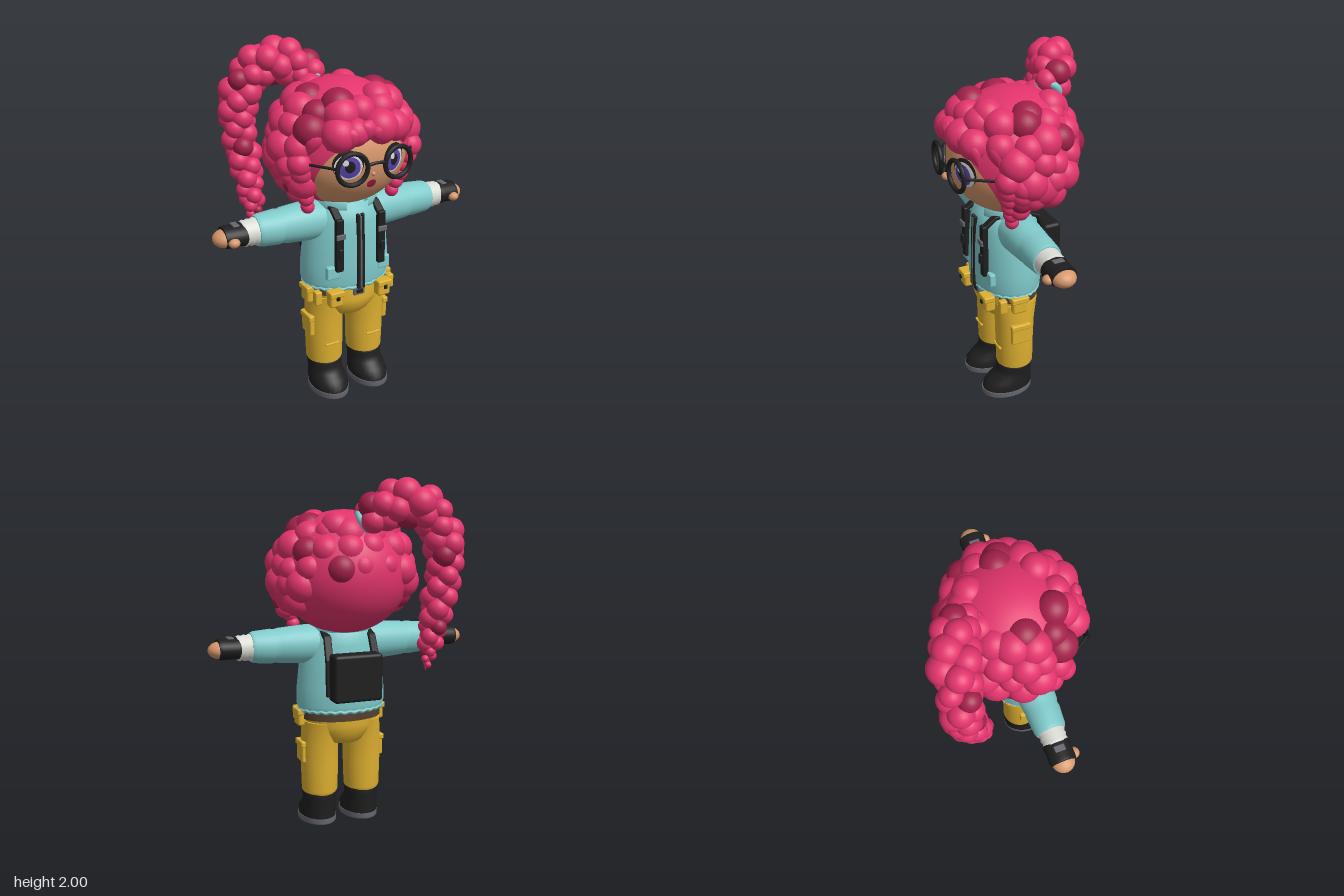
import * as THREE from 'three';
import { mergeGeometries } from 'three/addons/utils/BufferGeometryUtils.js';
import { RoundedBoxGeometry } from 'three/addons/geometries/RoundedBoxGeometry.js';

const V = (x, y, z) => new THREE.Vector3(x, y, z);

function makeMaterials() {
  const colours = { pink: 0xe2346c, darkPink: 0xa3204a, teal: 0x80cacb, yellow: 0xdeb030, black: 0x1e1e1f,
    grey: 0x66676f, skin: 0xd6976b, white: 0xdcdcd6, brown: 0x54402e, purple: 0x5c43b0 };
  const m = {};
  for (const [name, color] of Object.entries(colours)) {
    m[name] = new THREE.MeshStandardMaterial({ color });
    m[name].name = name;
  }
  m.teal.side = THREE.DoubleSide;
  return m;
}

// Stack of elliptical sections [y, cx, cz, rx, rz], closed at both ends
function loft(sections, n = 32) {
  const a = sections[0], b = sections[sections.length - 1];
  const rows = [[a[0], a[1], a[2], 0, 0], a, ...sections, b, [b[0], b[1], b[2], 0, 0]];
  const pos = [], idx = [];
  rows.forEach(([y, cx, cz, rx, rz], r) => {
    for (let i = 0; i < n; i++) {
      const t = i / n * Math.PI * 2;
      pos.push(cx + Math.sin(t) * rx, y, cz + Math.cos(t) * rz);
      if (r === 0) continue;
      const p = (r - 1) * n + i, q = (r - 1) * n + (i + 1) % n;
      idx.push(p, q, q + n, p, q + n, p + n);
    }
  });
  const g = new THREE.BufferGeometry();
  g.setAttribute('position', new THREE.Float32BufferAttribute(pos, 3));
  g.setIndex(idx);
  g.computeVertexNormals();
  return g;
}

export function createModel() {
  const model = new THREE.Group();
  const M = makeMaterials();
  let seed = 7;
  const rnd = () => (seed = (seed * 16807) % 2147483647) / 2147483647;

  const add = (name, geo, mat, x = 0, y = 0, z = 0) => {
    const mesh = new THREE.Mesh(geo, mat);
    mesh.name = name;
    mesh.position.set(x, y, z);
    model.add(mesh);
    return mesh;
  };
  const box = (name, mat, x, y, z, w, h, d, r = 0.008) =>
    add(name, new RoundedBoxGeometry(w, h, d, 2, Math.min(r, w / 3, h / 3, d / 3)), mat, x, y, z);
  const ball = (x, y, z, r) => new THREE.SphereGeometry(r, 24, 16).translate(x, y, z);
  // Straight flat strip from a to b
  const strip = (name, mat, a, b, w, t) => {
    const s = box(name, mat, 0, 0, 0, w, t, a.distanceTo(b) + t * 0.6);
    s.position.copy(a).lerp(b, 0.5);
    s.lookAt(b);
  };

  // Trousers and belt
  add('hips', loft([[0.49, 0, 0.1, 0.12, 0.115], [0.51, 0, 0.1, 0.15, 0.135], [0.55, 0, 0.1, 0.185, 0.158],
    [0.6, 0, 0.1, 0.222, 0.172], [0.68, 0, 0.095, 0.23, 0.166]]), M.yellow);
  add('belt', loft([[0.635, 0, 0.09, 0.238, 0.168], [0.69, 0, 0.09, 0.238, 0.168]]), M.brown);
  box('beltBuckle', M.grey, 0, 0.66, 0.27, 0.07, 0.05, 0.02);
  box('beltBuckleCentre', M.black, 0, 0.66, 0.28, 0.04, 0.025, 0.01);

  // Jacket, hem and upright collar
  add('jacket', loft([[0.685, 0, 0.1, 0.25, 0.18], [0.72, 0, 0.1, 0.264, 0.192], [0.82, 0, 0.1, 0.262, 0.192],
    [0.95, 0, 0.1, 0.248, 0.188], [1.07, 0, 0.1, 0.226, 0.178], [1.14, 0, 0.1, 0.195, 0.16],
    [1.18, 0, 0.1, 0.13, 0.11]], 40), M.teal);
  const hem = new THREE.TorusGeometry(0.243, 0.012, 8, 120).rotateX(Math.PI / 2);
  const hp = hem.attributes.position;
  for (let i = 0; i < hp.count; i++) {
    hp.setY(i, hp.getY(i) + 0.004 * Math.sin(Math.atan2(hp.getZ(i), hp.getX(i)) * 28));
  }
  hem.scale(1.02, 1, 0.74);
  hem.computeVertexNormals();
  add('jacketHem', hem, M.teal, 0, 0.69, 0.1);
  const collarProfile = [[0.14, 0], [0.18, 0], [0.185, 0.03], [0.18, 0.068], [0.165, 0.07], [0.14, 0]];
  add('collar', new THREE.LatheGeometry(collarProfile.map(p => new THREE.Vector2(...p)), 40, 0.36, Math.PI * 2 - 0.72)
    .scale(1, 1, 0.85), M.teal, 0, 1.13, 0.1);
  add('neck', new THREE.CylinderGeometry(0.065, 0.075, 0.16, 24), M.skin, 0, 1.16, 0.1);
  for (const s of [-1, 1]) strip('zipBand', M.black, V(s * 0.014, 0.69, 0.293), V(s * 0.014, 1.12, 0.276), 0.02, 0.02);
  strip('zip', M.grey, V(0, 0.69, 0.3), V(0, 1.11, 0.283), 0.01, 0.012);

  // Backpack
  box('backpack', M.black, 0, 0.905, -0.14, 0.29, 0.27, 0.105, 0.02);

  for (const s of [-1, 1]) {
    // Legs and boots
    const lx = s * 0.133;
    add('leg', loft([[0.18, lx, 0.1, 0.095, 0.1], [0.2, lx, 0.1, 0.105, 0.108], [0.35, lx, 0.1, 0.11, 0.11],
      [0.5, lx, 0.098, 0.11, 0.115], [0.62, s * 0.125, 0.095, 0.108, 0.135]]), M.yellow);
    add('boot', loft([[0.03, lx, 0.15, 0.105, 0.15], [0.06, lx, 0.148, 0.108, 0.148], [0.09, lx, 0.135, 0.104, 0.133],
      [0.12, lx, 0.115, 0.098, 0.113], [0.15, lx, 0.105, 0.098, 0.104], [0.185, lx, 0.105, 0.103, 0.105],
      [0.195, lx, 0.105, 0.097, 0.098]]), M.black);
    add('sole', loft([[0, lx, 0.152, 0.106, 0.15], [0.008, lx, 0.152, 0.11, 0.154], [0.035, lx, 0.152, 0.109, 0.153]]), M.grey);

    // Pockets and pouches
    box('cargoPocket', M.yellow, s * 0.238, 0.435, 0.11, 0.03, 0.12, 0.11);
    box('cargoFlap', M.yellow, s * 0.243, 0.485, 0.11, 0.035, 0.035, 0.12);
    box('kneeSeam', M.yellow, s * 0.135, 0.32, 0.209, 0.09, 0.012, 0.015);
    box('sidePouch', M.yellow, s * 0.245, 0.635, 0.12, 0.045, 0.09, 0.09, 0.015);
    box('sidePouchFlap', M.yellow, s * 0.25, 0.675, 0.12, 0.05, 0.035, 0.105);
    box('frontPouch', M.yellow, s * 0.152, 0.64, 0.27, 0.08, 0.08, 0.06, 0.015);
    box('frontPouchFlap', M.yellow, s * 0.152, 0.68, 0.277, 0.09, 0.035, 0.065);
    box('pouchClip', M.black, s * 0.152, 0.66, 0.31, 0.02, 0.025, 0.01);
    box('narrowPouch', M.yellow, s * 0.232, 0.645, 0.215, 0.04, 0.08, 0.045);
    box('jacketPocket', M.teal, s * 0.16, 0.8, 0.255, 0.075, 0.075, 0.035);

    // Harness straps over the shoulders
    box('chestStrap', M.black, s * 0.13, 0.965, 0.277, 0.045, 0.31, 0.035);
    box('strapBuckle', M.grey, s * 0.13, 1.02, 0.298, 0.055, 0.03, 0.012);
    box('strapClip', M.black, s * 0.13, 0.92, 0.3, 0.03, 0.06, 0.015);
    const path = [V(s * 0.13, 1.11, 0.27), V(s * 0.13, 1.155, 0.21), V(s * 0.13, 1.17, 0.08), V(s * 0.135, 1.12, -0.045),
      V(s * 0.14, 1.0, -0.09), V(s * 0.14, 0.8, -0.1)];
    for (let i = 1; i < path.length; i++) strip('shoulderStrap', M.black, path[i - 1], path[i], 0.045, 0.022);

    // Arms, modelled upright and then turned sideways
    const arm = (name, rows, mat) => {
      const g = loft(rows.map(([d, r]) => [d, 0, 0, r, r]), 28).rotateZ(-s * Math.PI / 2);
      return add(name, g, mat, 0, 1.07, 0.1);
    };
    arm('sleeve', [[0.1, 0.11], [0.2, 0.113], [0.3, 0.106], [0.38, 0.1], [0.4, 0.094], [0.42, 0.098], [0.52, 0.09],
      [0.54, 0.082]], M.teal);
    arm('cuff', [[0.52, 0.074], [0.545, 0.077], [0.56, 0.07], [0.575, 0.075], [0.59, 0.068], [0.605, 0.073], [0.62, 0.066]], M.white);
    arm('glove', [[0.605, 0.066], [0.615, 0.072], [0.645, 0.067], [0.705, 0.069], [0.725, 0.065]], M.black)
      .scale.set(1, 0.88, 1.1);
    add('hand', new THREE.SphereGeometry(1, 24, 16).scale(0.075, 0.05, 0.068), M.skin, s * 0.705, 1.065, 0.1);
    add('thumb', new THREE.SphereGeometry(1, 16, 12).scale(0.032, 0.025, 0.03), M.skin, s * 0.69, 1.06, 0.174);
    box('gloveStrap', M.grey, s * 0.655, 1.13, 0.1, 0.035, 0.008, 0.06);
  }

  // Head
  add('head', new THREE.SphereGeometry(1, 48, 32).scale(0.36, 0.32, 0.35), M.skin, 0, 1.46, 0.06);
  const faceZ = (x, y) => 0.06 + 0.35 * Math.sqrt(Math.max(0, 1 - (x / 0.36) ** 2 - ((y - 1.46) / 0.32) ** 2));
  // Thin disc that follows the face
  const faceDisc = (name, mat, x, y, rx, ry, lift) => {
    const g = new THREE.RingGeometry(0, 1, 32, 5).scale(rx, ry, 1).translate(x, y, 0);
    const p = g.attributes.position;
    for (let i = 0; i < p.count; i++) p.setZ(i, faceZ(p.getX(i), p.getY(i)) + lift);
    g.computeVertexNormals();
    add(name, g, mat);
  };
  for (const s of [-1, 1]) {
    const ex = s * 0.135;
    faceDisc('eyeOutline', M.black, ex, 1.455, 0.076, 0.078, 0.002);
    faceDisc('eyeWhite', M.white, ex, 1.444, 0.069, 0.069, 0.004);
    faceDisc('iris', M.purple, ex - s * 0.004, 1.443, 0.053, 0.058, 0.006);
    faceDisc('pupil', M.black, ex - s * 0.004, 1.447, 0.026, 0.032, 0.008);
    faceDisc('eyeGlint', M.white, ex - 0.018, 1.47, 0.015, 0.017, 0.01);
    faceDisc('eyebrow', M.darkPink, s * 0.14, 1.555, 0.05, 0.008, 0.004);
    add('glassesRim', new THREE.TorusGeometry(0.083, 0.013, 10, 40).rotateY(s * 0.12), M.black, ex, 1.445, 0.425);
    const temple = new THREE.LineCurve3(V(s * 0.215, 1.455, 0.412), V(s * 0.325, 1.455, 0.25));
    add('glassesArm', new THREE.TubeGeometry(temple, 1, 0.008, 8), M.black);
  }
  const bridge = new THREE.QuadraticBezierCurve3(V(-0.056, 1.455, 0.436), V(0, 1.475, 0.445), V(0.056, 1.455, 0.436));
  add('glassesBridge', new THREE.TubeGeometry(bridge, 10, 0.009, 8), M.black);
  faceDisc('mouth', M.darkPink, 0, 1.335, 0.027, 0.025, 0.004);
  add('nose', new THREE.SphereGeometry(0.012, 12, 8), M.skin, 0, 1.395, 0.404);

  // Hair cap with a round opening for the face
  add('hairCap', new THREE.SphereGeometry(1, 48, 32, 0, Math.PI * 2, 0, Math.PI * 0.747).rotateX(-1.09)
    .scale(0.378, 0.348, 0.365), M.pink, 0, 1.48, 0.045);

  // Curls in rows: [elevation, count, nearest angle to the face, furthest angle]
  const curls = [], darkCurls = [];
  const curl = (x, y, z, r, dark) => (dark ? darkCurls : curls).push(ball(x, y, z, r));
  const D = Math.PI / 180;
  const rows = [[45, 13, 0, 180], [27, 16, 0, 180], [7, 16, 52, 180], [-12, 16, 64, 140], [-29, 16, 66, 115]];
  rows.forEach(([elev, count, near, far], r) => {
    for (let i = 0; i < count; i++) {
      const a = ((i + (r % 2) * 0.5) / count * 360 + (rnd() - 0.5) * 9 + 540) % 360 - 180;
      const e = (elev + (rnd() - 0.5) * 7) * D, size = 0.07 + rnd() * 0.028;
      if (Math.abs(a) < near || Math.abs(a) > far) continue;
      const depth = Math.cos(a * D) > 0 ? 0.342 : 0.315;
      curl(0.352 * Math.cos(e) * Math.sin(a * D), 1.48 + 0.305 * Math.sin(e),
        0.06 + depth * Math.cos(e) * Math.cos(a * D), size, (i * 3 + r * 2) % 8 === 1);
    }
  });
  // Broad curls on the crown
  for (const [x, y, z] of [[-0.19, 1.725, 0.055], [0.2, 1.72, 0.055], [-0.115, 1.73, 0.235]]) curl(x, y, z, 0.092, true);
  for (const [x, y, z] of [[0.11, 1.735, -0.12], [0.11, 1.74, 0.23], [-0.08, 1.73, -0.14]]) curl(x, y, z, 0.085, false);

  for (const s of [-1, 1]) {
    curl(s * 0.295, 1.39, 0.03, 0.12, false);
    // Side locks, beads shrinking to a tip
    for (let i = 0; i < 6; i++) {
      const t = i / 5;
      curl(s * (0.335 - 0.072 * t), 1.45 - 0.27 * t, 0.225 - 0.055 * t, 0.066 - 0.028 * t, false);
      if (i < 4) curl(s * (0.36 - 0.07 * t), 1.42 - 0.25 * t, 0.15, 0.066 - 0.02 * t, i === 2);
    }
  }

  // Fringe locks: drops that lean outwards
  for (let i = 0; i < 8; i++) {
    const x = -0.28 + i * 0.08, y = 1.605 - Math.abs(x) * 0.15 + (i % 2) * 0.015;
    const side = x > 0 ? 1 : -1;
    const drop = [[0, -0.075], [0.03, -0.035], [0.052, 0.01], [0.045, 0.05], [0, 0.075]].map(p => new THREE.Vector2(...p));
    curls.push(new THREE.LatheGeometry(new THREE.SplineCurve(drop).getPoints(12), 16).scale(1, 1, 0.7)
      .rotateX(0.2).rotateZ(side * 0.35).translate(x, y, faceZ(x, y) + 0.025));
  }

  // Ponytail: curls spiralling round a hanging curve
  const tail = new THREE.CatmullRomCurve3([V(-0.04, 1.77, -0.2), V(-0.15, 1.86, -0.28), V(-0.33, 1.83, -0.33),
    V(-0.42, 1.67, -0.35), V(-0.425, 1.5, -0.355), V(-0.41, 1.3, -0.31), V(-0.4, 1.12, -0.265), V(-0.39, 0.97, -0.23)]);
  const width = [0.1, 0.14, 0.13, 0.115, 0.105, 0.1, 0.08, 0.032];
  const steps = 62;
  for (let i = 0; i <= steps; i++) {
    const t = i / steps, k = Math.min(6, Math.floor(t * 7)), f = t * 7 - k;
    const w = width[k] * (1 - f) + width[k + 1] * f;
    const p = tail.getPoint(t), ang = i * 2.4;
    const tan = tail.getTangent(t), u = V(0, 0, 1).cross(tan).normalize(), v = tan.clone().cross(u);
    p.addScaledVector(u, Math.cos(ang) * w * 0.47).addScaledVector(v, Math.sin(ang) * w * 0.47);
    curl(p.x, p.y, p.z, w * (0.48 + rnd() * 0.14), i % 9 === 4);
  }
  curls.push(new THREE.ConeGeometry(0.02, 0.07, 12).rotateX(Math.PI).translate(-0.39, 0.96, -0.225));
  add('curls', mergeGeometries(curls.map(g => g.toNonIndexed())), M.pink);
  add('darkCurls', mergeGeometries(darkCurls), M.darkPink);
  const tie = add('hairTie', new THREE.TorusGeometry(0.06, 0.022, 12, 28), M.teal, -0.035, 1.765, -0.185);
  tie.lookAt(-0.15, 1.86, -0.28);

  return model;
}
